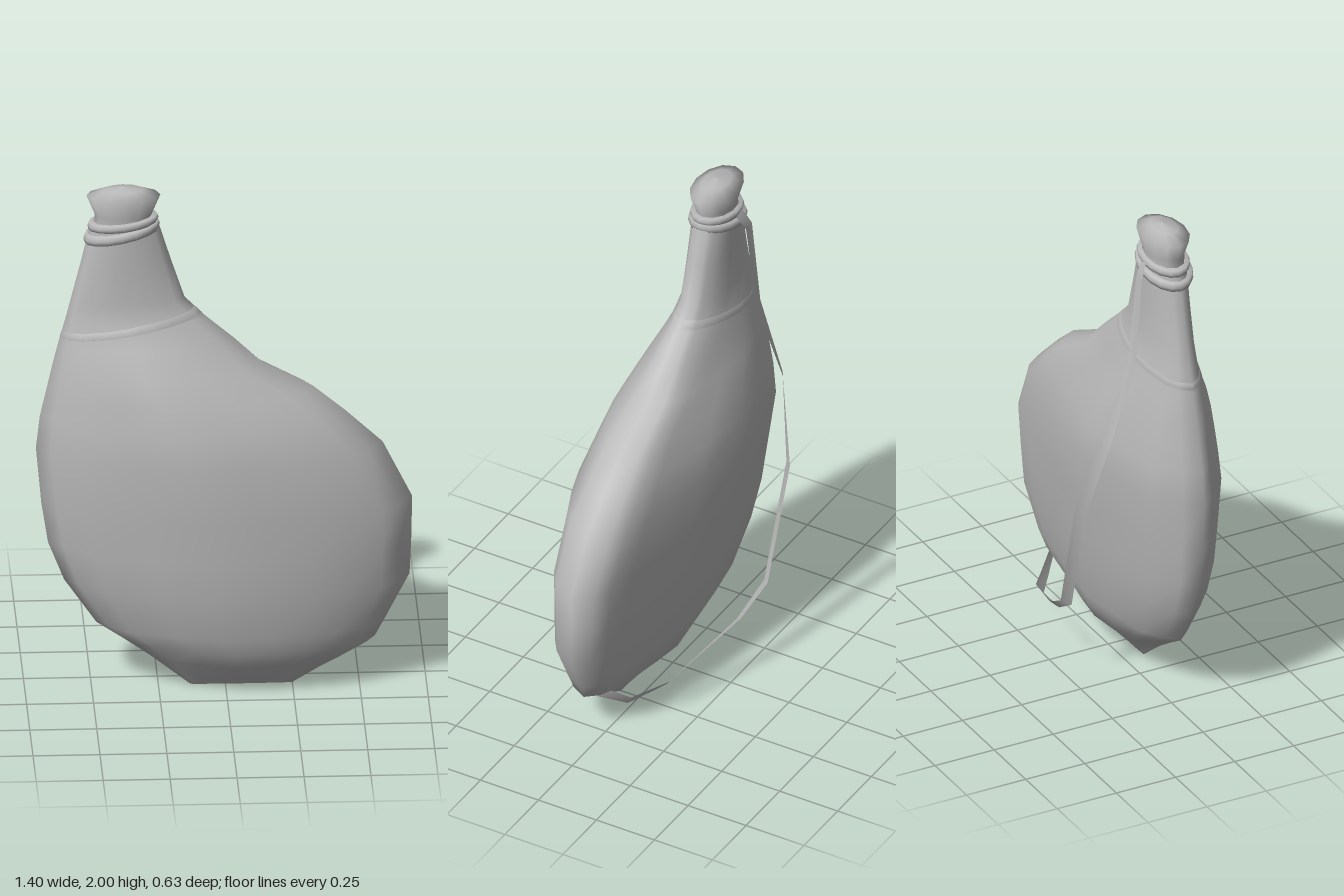
import * as THREE from 'three';

const grey = new THREE.MeshStandardMaterial({ color: 0xb8b8b8, side: THREE.DoubleSide });
grey.name = 'grey leather';

// Body outline by height: y, left x, right x, front z, side edge z, back z
const outline = [
  [0.005, -0.13, 0.25, 0.085, 0.08, 0.075],
  [0.12, -0.28, 0.45, 0.21, 0.07, -0.04],
  [0.18, -0.37, 0.56, 0.24, 0.06, -0.07],
  [0.25, -0.48, 0.6, 0.265, 0.05, -0.1],
  [0.42, -0.6, 0.69, 0.295, 0.04, -0.135],
  [0.57, -0.66, 0.697, 0.3, 0.035, -0.155],
  [0.73, -0.685, 0.7, 0.305, 0.035, -0.175],
  [0.95, -0.705, 0.59, 0.31, 0.03, -0.2],
  [1.08, -0.69, 0.45, 0.28, 0.03, -0.18],
  [1.18, -0.667, 0.33, 0.255, 0.03, -0.16],
  [1.28, -0.645, 0.14, 0.215, 0.03, -0.13],
  [1.38, -0.62, 0.035, 0.165, 0.03, -0.1],
  [1.47, -0.595, -0.07, 0.125, 0.03, -0.075],
  [1.55, -0.575, -0.15, 0.11, 0.03, -0.055],
  [1.7, -0.537, -0.2, 0.107, 0.03, -0.052],
  [1.86, -0.5, -0.25, 0.105, 0.03, -0.05],
];

// Cross-section of the bag: position across, share of the depth (front +, back -)
const section = [
  [1, 0], [0.92, 0.36], [0.83, 0.52], [0.65, 0.7], [0.45, 0.85], [0.2, 0.94], [-0.14, 1],
  [-0.45, 0.8], [-0.77, 0.54], [-0.92, 0.22],
  [-1, 0], [-0.92, -0.28], [-0.77, -0.66], [-0.45, -0.86], [-0.14, -1], [0.2, -0.85],
  [0.45, -0.7], [0.65, -0.6], [0.83, -0.49], [0.92, -0.33],
];

// Ring round the skin; lift gives the height across it, grow pushes it outwards
function skinRing(lift, grow = 0) {
  return section.map(([u, v]) => {
    const y = lift(u);
    let i = 0;
    while (i < outline.length - 2 && y > outline[i + 1][0]) i++;
    const t = (y - outline[i][0]) / (outline[i + 1][0] - outline[i][0]);
    const [, l, r, f, e, b] = outline[i].map((n, k) => THREE.MathUtils.lerp(n, outline[i + 1][k], t));
    // the bag's lens shape rounds off to an ellipse at the neck
    const round = Math.sign(v) * Math.sqrt(1 - u * u);
    const depth = THREE.MathUtils.lerp(v, round, THREE.MathUtils.smoothstep(y, 1.1, 1.55));
    return new THREE.Vector3(
      (l + r) / 2 + ((r - l) / 2 + grow) * u,
      y,
      e + (depth > 0 ? f - e + grow : e - b + grow) * depth);
  });
}

// Surface through rows of points; closed rows wrap round with shared normals
function loft(rows, closed) {
  const n = rows[0].length, index = [];
  for (let j = 0; j < rows.length - 1; j++) {
    for (let i = 0; i < (closed ? n : n - 1); i++) {
      const k = (i + 1) % n, a = j * n, b = a + n;
      index.push(a + i, b + i, a + k, a + k, b + i, b + k);
    }
  }
  const g = new THREE.BufferGeometry().setFromPoints(rows.flat());
  g.setIndex(index);
  g.computeVertexNormals();
  return g;
}

// Tilted elliptical band around the neck, rectangular in section
function neckBand(y, cx, rx, rz, height, slope) {
  const row = (grow, dy) => Array.from({ length: 16 }, (_, i) => {
    const a = (i / 16) * Math.PI * 2, x = (rx + grow) * Math.cos(a);
    return new THREE.Vector3(cx + x, y + dy + slope * x, 0.03 + (rz + grow) * Math.sin(a));
  });
  const h = height / 2;
  return loft([row(-0.03, -h), row(0, -h), row(0.005, 0), row(0, h), row(-0.03, h)], true);
}

export function createModel() {
  const group = new THREE.Group();
  const add = (name, geometry) => {
    const mesh = new THREE.Mesh(geometry, grey);
    mesh.name = name;
    group.add(mesh);
    return mesh;
  };

  // Leather bag with its neck
  add('body', loft(outline.map(([y]) => skinRing(() => y)), true));

  // Faint seam where the neck joins the bag
  const seamRow = (dy, grow) => skinRing((u) => 1.455 + 0.045 * u + dy, grow);
  add('shoulderSeam', loft([seamRow(-0.015, -0.004), seamRow(-0.012, 0.0015),
    seamRow(0.012, 0.0015), seamRow(0.015, -0.004)], true));

  // Cord wound twice under the stopper
  add('lowerCord', neckBand(1.822, -0.385, 0.138, 0.094, 0.034, 0.2));
  add('upperCord', neckBand(1.86, -0.38, 0.128, 0.084, 0.028, 0.12));

  // Flared stopper with a domed top
  const profile = [[0.118, 1.82], [0.107, 1.89], [0.138, 1.965], [0.075, 1.988], [0, 2]]
    .map(([r, y]) => new THREE.Vector2(r, y));
  const stopper = add('stopper', new THREE.LatheGeometry(profile, 12));
  stopper.scale.z = 0.64;
  stopper.position.set(-0.378, 0, 0.03);

  // Flat carrying strap behind the bag, twisting as it hangs: point, then facing
  const path = [
    [-0.39, 1.86, -0.06, 0, 0, -1],
    [-0.41, 1.8, -0.09, 0, 0, -1],
    [-0.42, 1.45, -0.125, -0.2, 0, -1],
    [-0.42, 1.16, -0.23, -0.6, 0, -1],
    [-0.34, 0.82, -0.3, -0.8, -0.3, -0.8],
    [-0.2, 0.36, -0.285, -0.6, -0.6, -0.8],
    [-0.05, 0.27, -0.255, -0.2, -0.8, -0.8],
    [0.28, 0.14, -0.14, 0.2, -0.7, -0.8],
    [0.41, 0.11, -0.05, 0.4, -0.5, -0.8],
    [0.49, 0.17, 0.03, 0.6, -0.2, -0.8],
  ];
  const points = path.map(([x, y, z]) => new THREE.Vector3(x, y, z));
  const edges = points.map((p, i) => {
    const along = points[Math.min(i + 1, points.length - 1)].clone().sub(points[Math.max(i - 1, 0)]);
    const facing = new THREE.Vector3(...path[i].slice(3));
    const across = along.cross(facing).normalize().multiplyScalar(0.022);
    return [p.clone().sub(across), p.clone().add(across)];
  });
  add('strap', loft(edges, false));

  return group;
}
